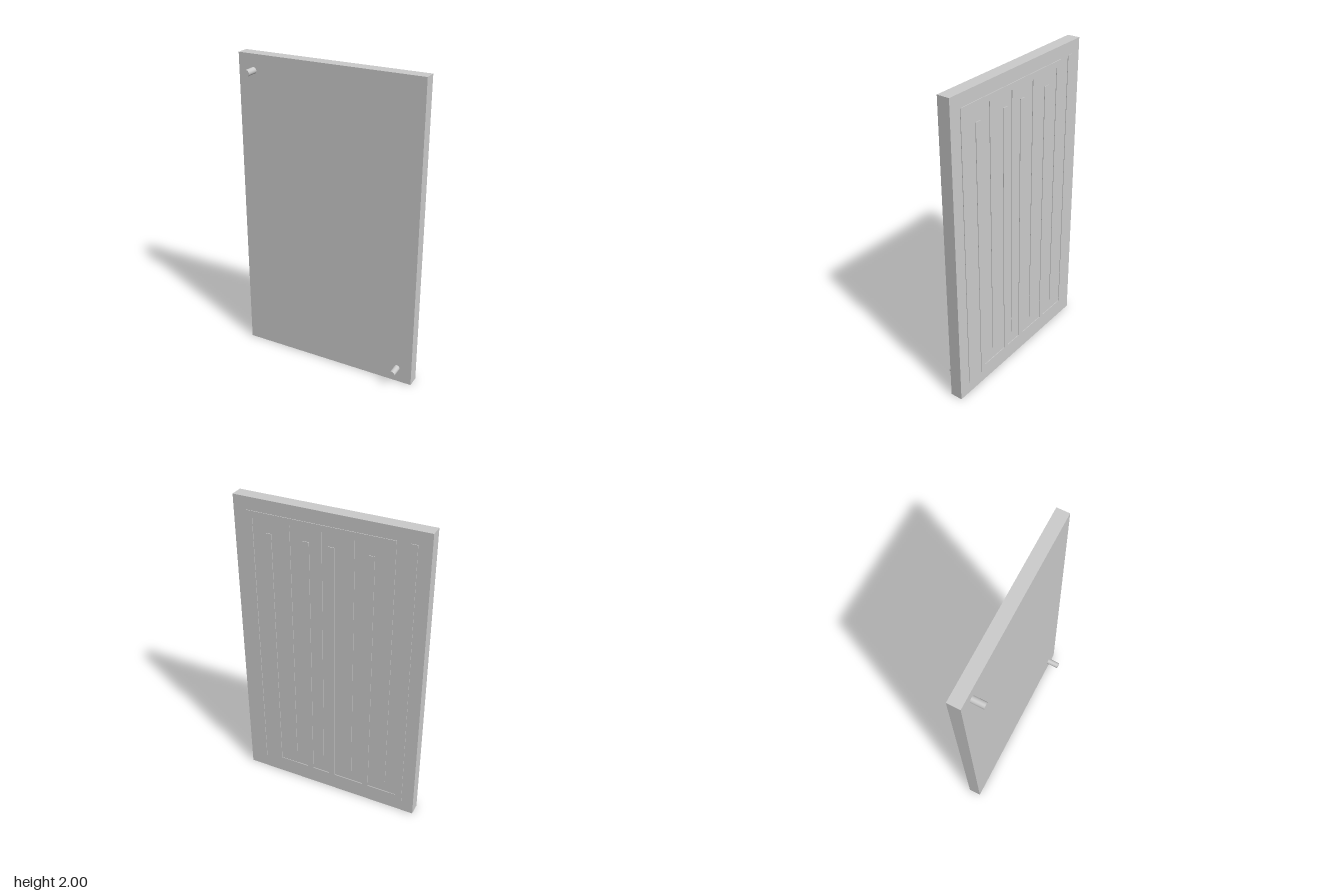
import * as THREE from 'three';

const HALF = 0.02;    // half the width of a channel track
const RELIEF = 0.004; // height of the tracks above the plate
const BACK = -0.078;  // back face of the plate
const FRONT = 0.002;  // front face of the plate

// Comb outline: a spine along the top, one full-length tooth at +x, then shorter teeth.
// flip = -1 turns the comb half a turn about the plate's centre.
function combGeometry(teeth, flip) {
  const spineTop = 0.92, spineBottom = 0.88;
  const last = teeth[teeth.length - 1];
  const points = [[last - HALF, spineTop], [teeth[0] + HALF, spineTop]];
  teeth.forEach((x, i) => {
    const end = i === 0 ? -0.92 : -0.8;
    if (i > 0) points.push([x + HALF, spineBottom]);
    points.push([x + HALF, end], [x - HALF, end]);
    if (x !== last) points.push([x - HALF, spineBottom]);
  });
  const shape = new THREE.Shape(points.map(([x, y]) => new THREE.Vector2(flip * x, 1 + flip * y)));
  return new THREE.ExtrudeGeometry(shape, { depth: RELIEF, bevelEnabled: false });
}

export function createModel() {
  const model = new THREE.Group();
  model.name = 'channelPlate';
  const material = new THREE.MeshStandardMaterial({ color: 0xcccccc });

  const add = (name, geometry, x, y, z) => {
    const mesh = new THREE.Mesh(geometry, material);
    mesh.name = name;
    mesh.position.set(x, y, z);
    model.add(mesh);
    return mesh;
  };

  // Flat plate
  add('plate', new THREE.BoxGeometry(1.2, 2, FRONT - BACK), 0, 1, (FRONT + BACK) / 2);

  // Interleaved raised combs on the back
  add('upperComb', combGeometry([0.5, 0.26, 0.06, -0.14, -0.38], 1), 0, 0, BACK - RELIEF);
  add('lowerComb', combGeometry([0.5, 0.26, 0.02, -0.14, -0.38], -1), 0, 0, BACK - RELIEF);

  // Round port pins on the front, at opposite corners
  const pin = new THREE.CylinderGeometry(0.02, 0.02, 0.08, 32).rotateX(Math.PI / 2);
  add('upperPin', pin, -0.5, 1.9, FRONT + 0.04);
  add('lowerPin', pin, 0.5, 0.1, FRONT + 0.04);

  return model;
}
